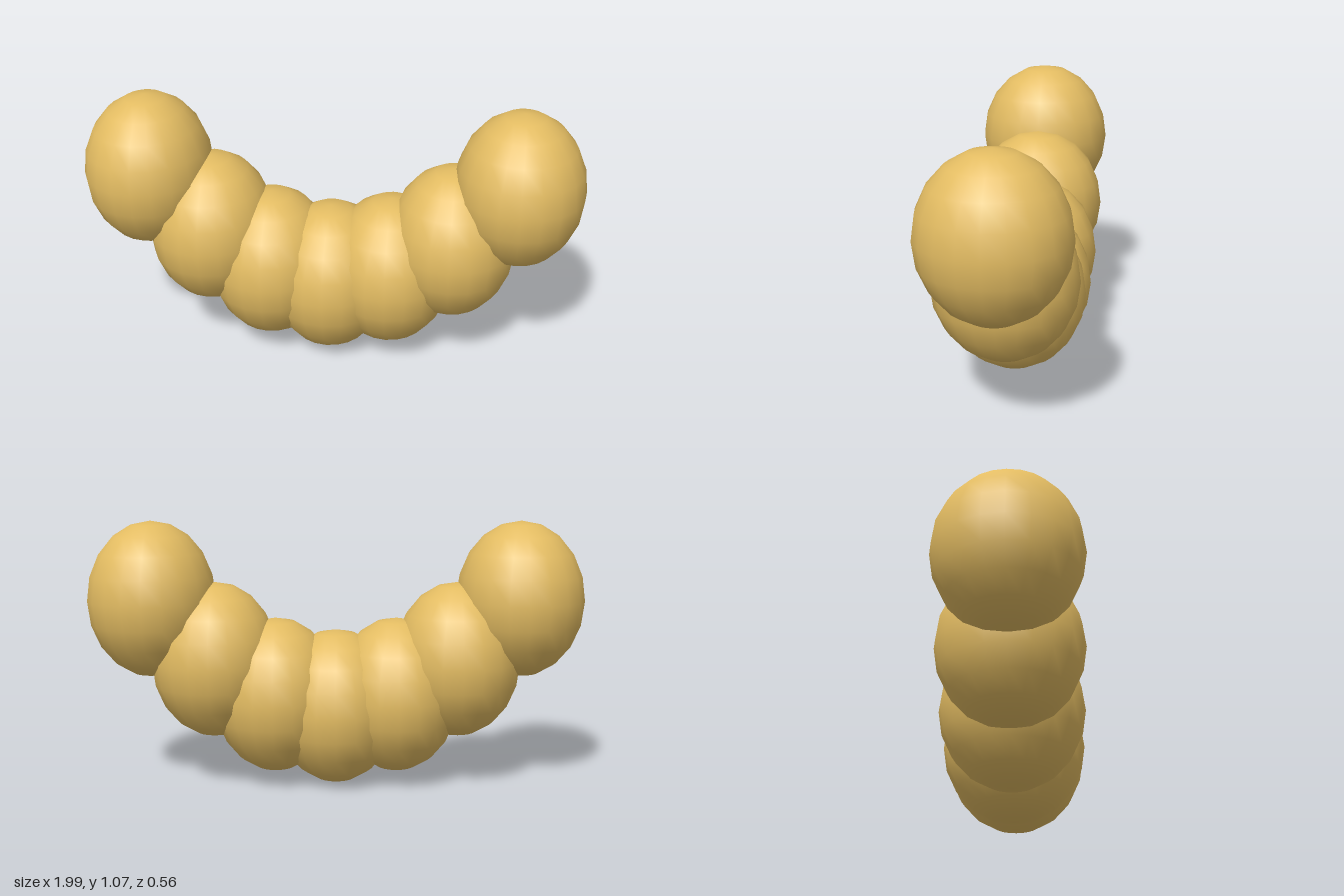
import * as THREE from 'three';

export function createModel() {
  const model = new THREE.Group();
  model.name = 'curvedSegmentChain';

  const material = new THREE.MeshStandardMaterial({ color: 0xe3bc62 });

  // One egg-shaped segment, shared by the whole chain
  const segment = new THREE.SphereGeometry(1, 20, 10);
  segment.scale(0.257, 0.314, 0.28);

  const addSegment = (name, x, y) => {
    const mesh = new THREE.Mesh(segment, material);
    mesh.name = name;
    mesh.position.set(x, y, 0);
    model.add(mesh);
  };

  // Lowest segment in the middle, then mirrored pairs rising to the tips
  addSegment('middleSegment', 0, 0.317);
  const pairs = [
    ['InnerSegment', 0.245, 0.365],
    ['OuterSegment', 0.49, 0.51],
    ['TipSegment', 0.74, 0.755],
  ];
  for (const [name, x, y] of pairs) {
    addSegment('left' + name, x, y);
    addSegment('right' + name, -x, y);
  }

  return model;
}
